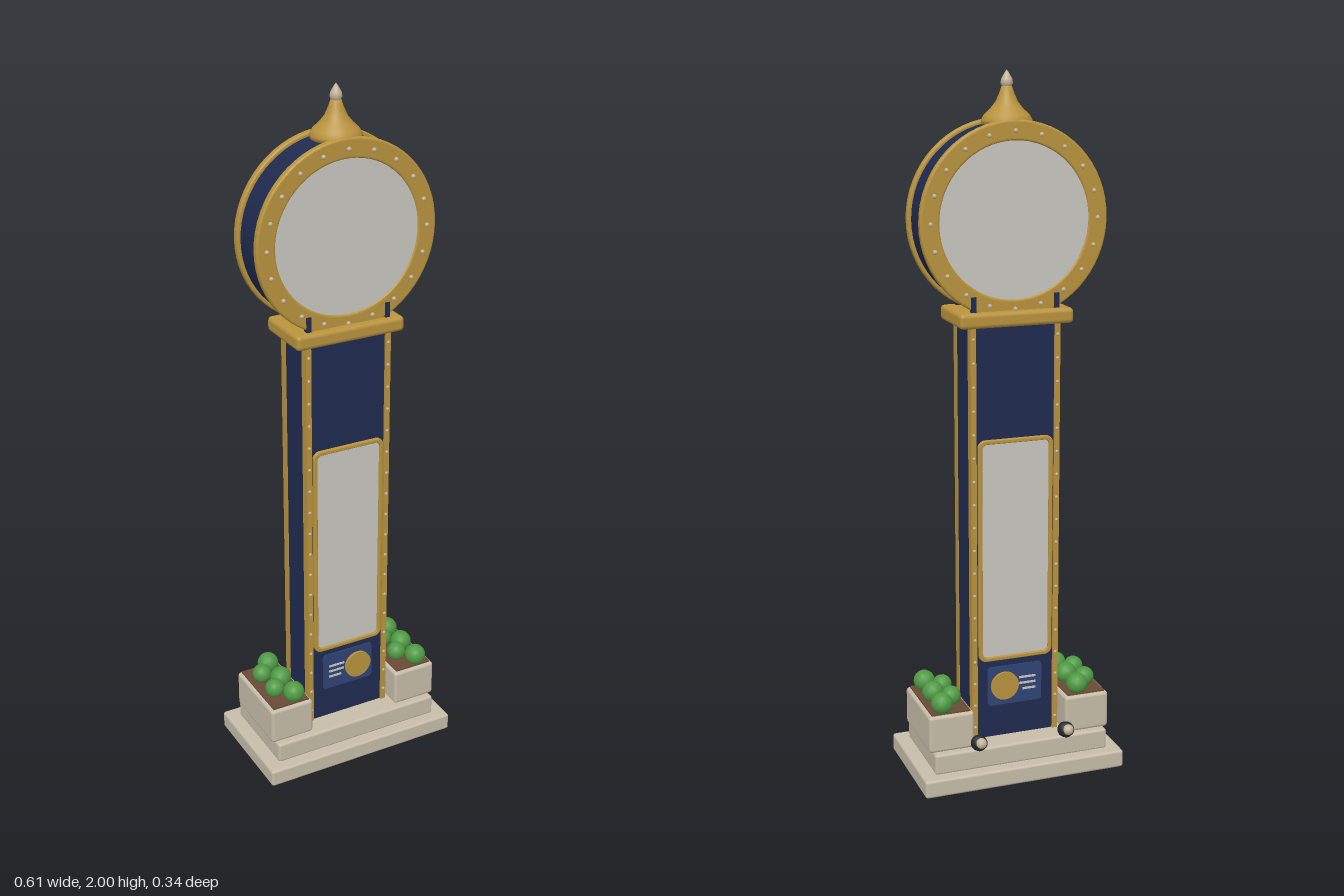
import * as THREE from 'three';
import { RoundedBoxGeometry } from 'three/addons/geometries/RoundedBoxGeometry.js';

const mat = (name, color, extra) => new THREE.MeshStandardMaterial({ name, color, ...extra });

export function createModel() {
  const gold = mat('gold', 0xb9933d), navy = mat('navy', 0x1f2a4f), stone = mat('stone', 0xc6bca8);
  const glass = mat('pale glass', 0xc8c6c0), leaf = mat('leaf green', 0x4f9a44), soil = mat('soil', 0x6b4a35);
  const black = mat('lamp black', 0x22282e), blue = mat('plaque blue', 0x2f4374), pewter = mat('pewter', 0xc6b498);

  const model = new THREE.Group();
  model.name = 'streetClock';
  const add = (name, geo, material, x = 0, y = 0, z = 0, parent = model) => {
    const m = new THREE.Mesh(geo, material);
    m.name = name;
    m.position.set(x, y, z);
    parent.add(m);
    return m;
  };
  // box given by its width, bottom, top and depth, with softened edges when r > 0
  const block = (name, material, w, y0, y1, d, r = 0, x = 0, z = 0) =>
    add(name, r ? new RoundedBoxGeometry(w, y1 - y0, d, 2, r) : new THREE.BoxGeometry(w, y1 - y0, d),
      material, x, (y0 + y1) / 2, z);
  // rounded rectangle outline centred on the origin
  const roundRect = (P, w, h, r) => {
    const p = new P(), a = w / 2, b = h / 2;
    p.moveTo(-a + r, -b);
    p.lineTo(a - r, -b); p.absarc(a - r, -b + r, r, -Math.PI / 2, 0);
    p.lineTo(a, b - r); p.absarc(a - r, b - r, r, 0, Math.PI / 2);
    p.lineTo(-a + r, b); p.absarc(-a + r, b - r, r, Math.PI / 2, Math.PI);
    p.lineTo(-a, -b + r); p.absarc(-a + r, -b + r, r, Math.PI, Math.PI * 1.5);
    return p;
  };
  // extrusion centred on z = 0, with an optional bevel
  const plate = (shape, depth, bevel = 0) => {
    const g = new THREE.ExtrudeGeometry(shape, {
      depth: depth - 2 * bevel, bevelEnabled: bevel > 0, bevelSize: bevel, bevelOffset: -bevel,
      bevelThickness: bevel, bevelSegments: 3, curveSegments: 32,
    });
    return g.translate(0, 0, -(depth - 2 * bevel) / 2);
  };

  // stepped plinth
  block('plinthLower', stone, 0.606, 0, 0.053, 0.344, 0.008);
  block('plinthUpper', stone, 0.526, 0.05, 0.112, 0.274, 0.008);

  // planters with zigzag rows of shrubs
  const shrubGeo = new THREE.IcosahedronGeometry(0.031, 2);
  for (const s of [-1, 1]) {
    block('planter', stone, 0.135, 0.11, 0.221, 0.237, 0.01, s * 0.207);
    block('planterSoil', soil, 0.115, 0.215, 0.225, 0.218, 0, s * 0.207);
    for (let i = 0; i < 5; i++) {
      const shrub = add('shrub', shrubGeo, leaf, s * 0.207 + (i % 2 ? -0.021 : 0.02), 0.247, (i - 2) * 0.043);
      shrub.rotation.set(i, i * 2, 0);
      shrub.scale.setScalar(i % 2 ? 0.92 : 1.02);
    }
  }

  // column core, corner posts and cap
  block('columnCore', navy, 0.258, 0.11, 1.33, 0.136);
  for (const sx of [-1, 1]) for (const sz of [-1, 1]) {
    block('cornerPost', gold, 0.016, 0.11, 1.33, 0.026, 0, sx * 0.123, sz * 0.0615);
  }
  block('columnCap', gold, 0.33, 1.32, 1.363, 0.184, 0.012);

  const rivetGeo = new THREE.SphereGeometry(0.0065, 8, 6);
  const frameShape = roundRect(THREE.Shape, 0.222, 0.655, 0.022);
  frameShape.holes.push(roundRect(THREE.Path, 0.198, 0.631, 0.014));
  const frameGeo = plate(frameShape, 0.014, 0.003);
  const screenGeo = plate(roundRect(THREE.Shape, 0.204, 0.637, 0.016), 0.006);
  const plaqueGeo = plate(roundRect(THREE.Shape, 0.164, 0.118, 0.01), 0.006);
  const sealGeo = new THREE.CylinderGeometry(0.042, 0.042, 0.009, 32).rotateX(Math.PI / 2);

  const ringShape = new THREE.Shape().absarc(0, 0, 0.268, 0, Math.PI * 2);
  ringShape.holes.push(new THREE.Path().absarc(0, 0, 0.213, 0, Math.PI * 2));
  const ringGeo = plate(ringShape, 0.022, 0.006);

  // matching details on the front and back faces
  for (const s of [1, -1]) {
    add('screenFrame', frameGeo, gold, 0, 0.676, s * 0.071);
    add('screen', screenGeo, glass, 0, 0.676, s * 0.069);
    add('plaque', plaqueGeo, blue, 0.001, 0.268, s * 0.069);
    add('plaqueSeal', sealGeo, gold, 0.033, 0.268, s * 0.075);
    for (let i = 0; i < 3; i++) {
      const w = i === 2 ? 0.04 : 0.05;
      add('plaqueLine', new THREE.BoxGeometry(w, 0.006, 0.004), glass, -0.062 + w / 2, 0.286 - i * 0.018, s * 0.0725);
    }
    // rivets on the posts
    for (const sx of [-1, 1]) for (let i = 0; i < 18; i++) {
      add('postRivet', rivetGeo, pewter, sx * 0.123, 0.15 + i * 0.067, s * 0.0745).scale.setScalar(0.75);
    }
    // bezel with rivets
    add('bezel', ringGeo, gold, 0, 1.605, s * 0.059);
    for (let i = 0; i < 20; i++) {
      const a = (i / 20) * Math.PI * 2;
      add('bezelRivet', rivetGeo, pewter, Math.sin(a) * 0.239, 1.605 + Math.cos(a) * 0.239, s * 0.071);
    }
    // small brackets holding the head
    for (const sx of [-1, 1]) block('headBracket', navy, 0.014, 1.355, 1.405, 0.016, 0, sx * 0.12, s * 0.066);
  }

  // drum and dials
  add('drum', new THREE.CylinderGeometry(0.257, 0.257, 0.1, 64).rotateX(Math.PI / 2), navy, 0, 1.605, 0);
  add('dials', new THREE.CylinderGeometry(0.214, 0.214, 0.132, 64).rotateX(Math.PI / 2), glass, 0, 1.605, 0);

  // finial
  const lathe = (pts) => new THREE.LatheGeometry(pts.map(([x, y]) => new THREE.Vector2(x, y)), 32);
  add('finialBell', lathe([[0, 1.855], [0.068, 1.857], [0.07, 1.868], [0.062, 1.882], [0.045, 1.898],
    [0.03, 1.917], [0.02, 1.94], [0.014, 1.957], [0, 1.96]]), gold);
  add('finialTip', lathe([[0, 1.95], [0.01, 1.952], [0.017, 1.965], [0.015, 1.976], [0.006, 1.992], [0, 2]]), pewter);

  // floodlights behind the column
  const bodyGeo = lathe([[0, -0.024], [0.016, -0.022], [0.022, -0.012], [0.023, 0.002], [0.018, 0.02], [0, 0.021]]);
  const lensGeo = new THREE.SphereGeometry(0.016, 16, 10);
  for (const s of [-1, 1]) {
    const lamp = new THREE.Group();
    lamp.name = 'floodlight';
    lamp.position.set(s * 0.133, 0.132, -0.139);
    lamp.rotation.x = -1.2;
    add('lampBody', bodyGeo, black, 0, 0, 0, lamp);
    add('lampLens', lensGeo, pewter, 0, 0.018, 0, lamp);
    model.add(lamp);
  }
  return model;
}
